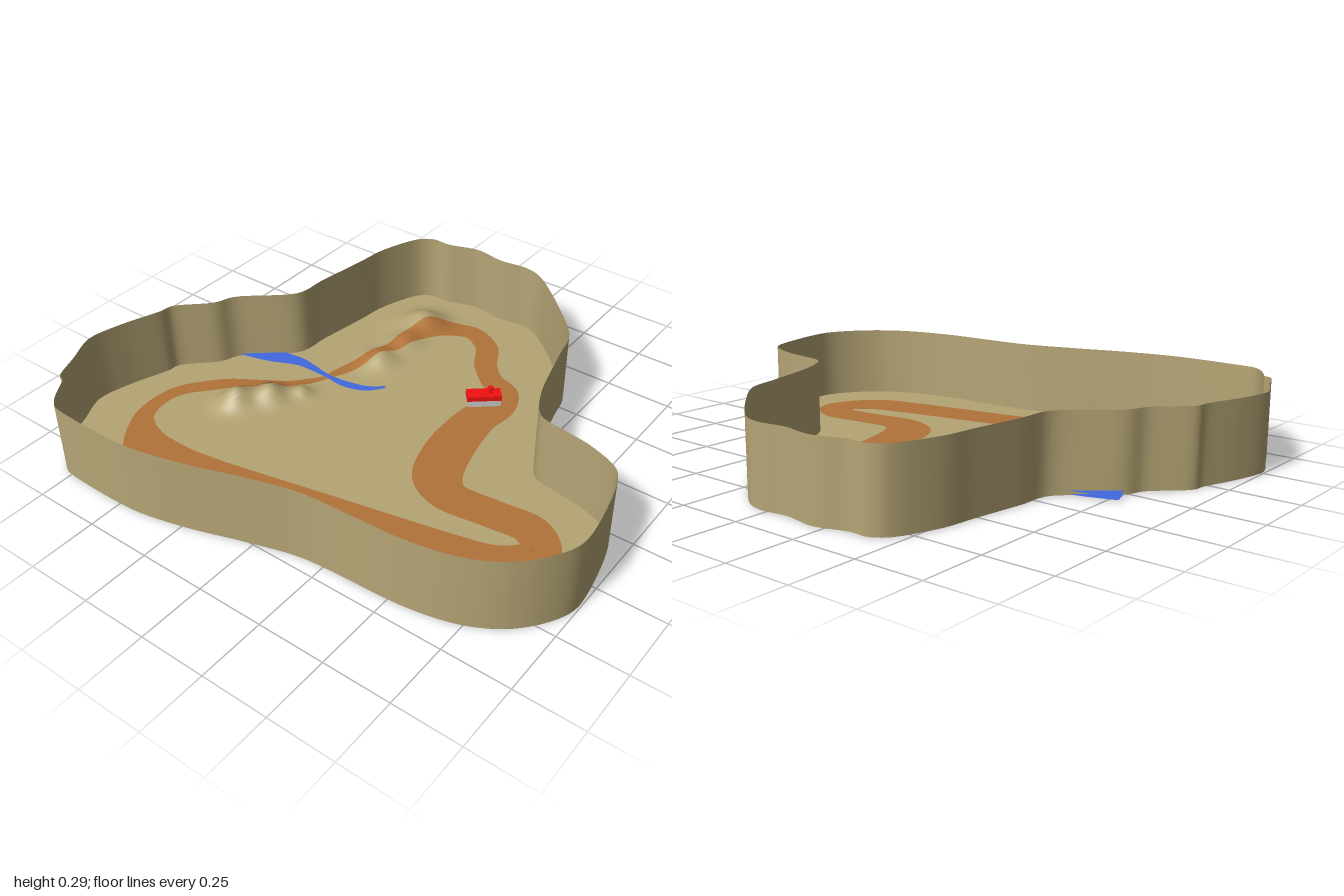
import * as THREE from 'three';
import { toCreasedNormals } from 'three/addons/utils/BufferGeometryUtils.js';

const FLOOR = 0.015, WALL_BOTTOM = 0.006, WALL_TOP = 0.29;

const paint = (color) => new THREE.MeshStandardMaterial({ color, side: THREE.DoubleSide });

// hills as [x, z, height, radius]
const HILLS = [
  [-0.30, -0.63, 0.065, 0.09], [-0.28, -0.47, 0.04, 0.07], [-0.29, -0.32, 0.045, 0.07],
  [-0.56, 0.22, 0.07, 0.06], [-0.48, 0.12, 0.06, 0.06], [-0.40, 0.03, 0.03, 0.04],
];
function groundHeight(x, z) {
  let y = FLOOR;
  for (const [hx, hz, h, r] of HILLS) y += h * Math.exp(-((x - hx) ** 2 + (z - hz) ** 2) / (r * r));
  return y;
}

// rim of the site as [x, z]
const RIM = [
  [-0.40, -0.85], [-0.33, -0.85], [-0.21, -0.885], [-0.09, -0.868], [0.02, -0.88], [0.11, -0.85],
  [0.25, -0.73], [0.40, -0.57], [0.44, -0.43], [0.50, -0.21], [0.57, -0.085], [0.68, -0.06],
  [0.79, -0.04], [0.91, 0.015], [0.96, 0.13], [0.995, 0.35], [0.95, 0.47], [0.86, 0.57],
  [0.73, 0.64], [0.54, 0.68], [0.19, 0.70], [-0.02, 0.755], [-0.235, 0.825], [-0.45, 0.87],
  [-0.73, 0.87], [-0.80, 0.845], [-0.855, 0.77], [-0.87, 0.745], [-0.905, 0.725], [-0.945, 0.63],
  [-0.995, 0.51], [-0.97, 0.375], [-0.92, 0.23], [-0.905, 0.165], [-0.80, 0.06], [-0.755, -0.03],
  [-0.59, -0.18], [-0.57, -0.32], [-0.54, -0.52], [-0.525, -0.64], [-0.485, -0.76], [-0.45, -0.82],
];

// road centre line as [x, z, half width], starting at the stream crossing
const ROAD = [
  [-0.39, -0.11, 0.012], [-0.36, -0.20, 0.025], [-0.29, -0.40, 0.03], [-0.255, -0.56, 0.04],
  [-0.19, -0.665, 0.045], [-0.10, -0.705, 0.042], [0, -0.65, 0.045], [0.06, -0.55, 0.045],
  [0.13, -0.48, 0.045], [0.215, -0.43, 0.06], [0.24, -0.34, 0.075], [0.225, -0.22, 0.08],
  [0.24, -0.05, 0.09], [0.29, 0.11, 0.09], [0.385, 0.18, 0.075], [0.55, 0.168, 0.07],
  [0.70, 0.157, 0.07], [0.785, 0.235, 0.066], [0.70, 0.355, 0.085], [0.55, 0.405, 0.085],
  [0.09, 0.497, 0.081], [-0.40, 0.60, 0.085], [-0.62, 0.613, 0.09], [-0.765, 0.51, 0.042],
  [-0.80, 0.39, 0.03], [-0.775, 0.28, 0.03], [-0.66, 0.152, 0.035], [-0.49, 0.04, 0.03],
  [-0.41, -0.07, 0.015],
];
const STREAM = [
  [-0.165, -0.19, 0.006], [-0.22, -0.14, 0.015], [-0.30, -0.115, 0.018], [-0.39, -0.115, 0.01],
  [-0.50, -0.125, 0.02], [-0.56, -0.12, 0.028], [-0.66, -0.09, 0.04], [-0.775, -0.055, 0.036],
];

const curveOf = (rows, closed) => new THREE.CatmullRomCurve3(
  rows.map(([x, z, w = 0]) => new THREE.Vector3(x, w, z)), closed, 'catmullrom', 0.45);

// surface through a grid of rows x cols points
function gridSurface(rows, cols, pointAt) {
  const pos = [], index = [];
  for (let i = 0; i < rows; i++) {
    for (let j = 0; j < cols; j++) {
      pos.push(...pointAt(i, j));
      if (i && j) {
        const d = i * cols + j, c = d - 1, b = d - cols, a = b - 1;
        index.push(a, b, c, b, d, c);
      }
    }
  }
  const g = new THREE.BufferGeometry();
  g.setAttribute('position', new THREE.Float32BufferAttribute(pos, 3));
  g.setIndex(index);
  g.computeVertexNormals();
  return g;
}

// ribbon draped over the ground, raised or lowered by lift
function ribbon(rows, closed, steps, lift) {
  const curve = curveOf(rows, closed), across = 6;
  return gridSurface(steps + 1, across + 1, (i, j) => {
    const t = i / steps, p = curve.getPoint(t), d = curve.getTangent(t);
    const len = Math.hypot(d.x, d.z), s = (j / across * 2 - 1) * p.y;
    const x = p.x - d.z / len * s, z = p.z + d.x / len * s;
    return [x, groundHeight(x, z) + lift, z];
  });
}

export function createModel() {
  const model = new THREE.Group();
  const add = (name, geometry, material, parent = model) => {
    const mesh = new THREE.Mesh(geometry, material);
    mesh.name = name;
    parent.add(mesh);
    return mesh;
  };
  const earth = paint(0xb5a575), track = paint(0xb27339), water = paint(0x4169e1);
  const red = paint(0xf01010), grey = paint(0xcccccc);

  // ground: rings growing from the middle out to the rim
  const rim = curveOf(RIM, true), SEG = 252, RINGS = 60, cx = -0.1, cz = 0.05;
  const rimPoints = Array.from({ length: SEG + 1 }, (_, j) => rim.getPoint((j % SEG) / SEG));
  add('ground', gridSurface(RINGS + 1, SEG + 1, (i, j) => {
    const k = i / RINGS, p = rimPoints[j];
    const x = cx + (p.x - cx) * k, z = cz + (p.z - cz) * k;
    return [x, groundHeight(x, z), z];
  }), earth);

  // thin upright wall round the rim
  const wall = gridSurface(2, SEG + 1, (i, j) => [rimPoints[j].x, i ? WALL_TOP : WALL_BOTTOM, rimPoints[j].z]);
  add('rimWall', toCreasedNormals(wall, 0.5), earth);

  // road loop, with its underside showing below the hills
  add('road', ribbon(ROAD, true, 320, 0.004), track);
  add('roadUndersideNorth', ribbon(ROAD.slice(0, 7), false, 90, -0.003), track);
  add('roadUndersideSouth', ribbon(ROAD.slice(-3), false, 40, -0.003), track);

  // stream, seen from above and below
  add('stream', ribbon(STREAM, false, 60, 0.006), water);
  add('streamUnderside', ribbon(STREAM, false, 60, -0.006), water);

  // small building beside the road
  const house = new THREE.Group();
  house.name = 'house';
  house.position.set(0.19, 0, -0.335);
  house.rotation.y = 0.7;
  model.add(house);
  add('houseWalls', new THREE.BoxGeometry(0.125, 0.042, 0.05), grey, house).position.y = 0.025;
  add('houseRoof', new THREE.BoxGeometry(0.13, 0.02, 0.055), red, house).position.y = 0.056;
  add('turret', new THREE.CylinderGeometry(0.006, 0.006, 0.02, 12), red, house).position.set(0.025, 0.075, 0);
  add('turretCap', new THREE.CylinderGeometry(0.011, 0.011, 0.008, 12), red, house).position.set(0.025, 0.087, 0);

  return model;
}
